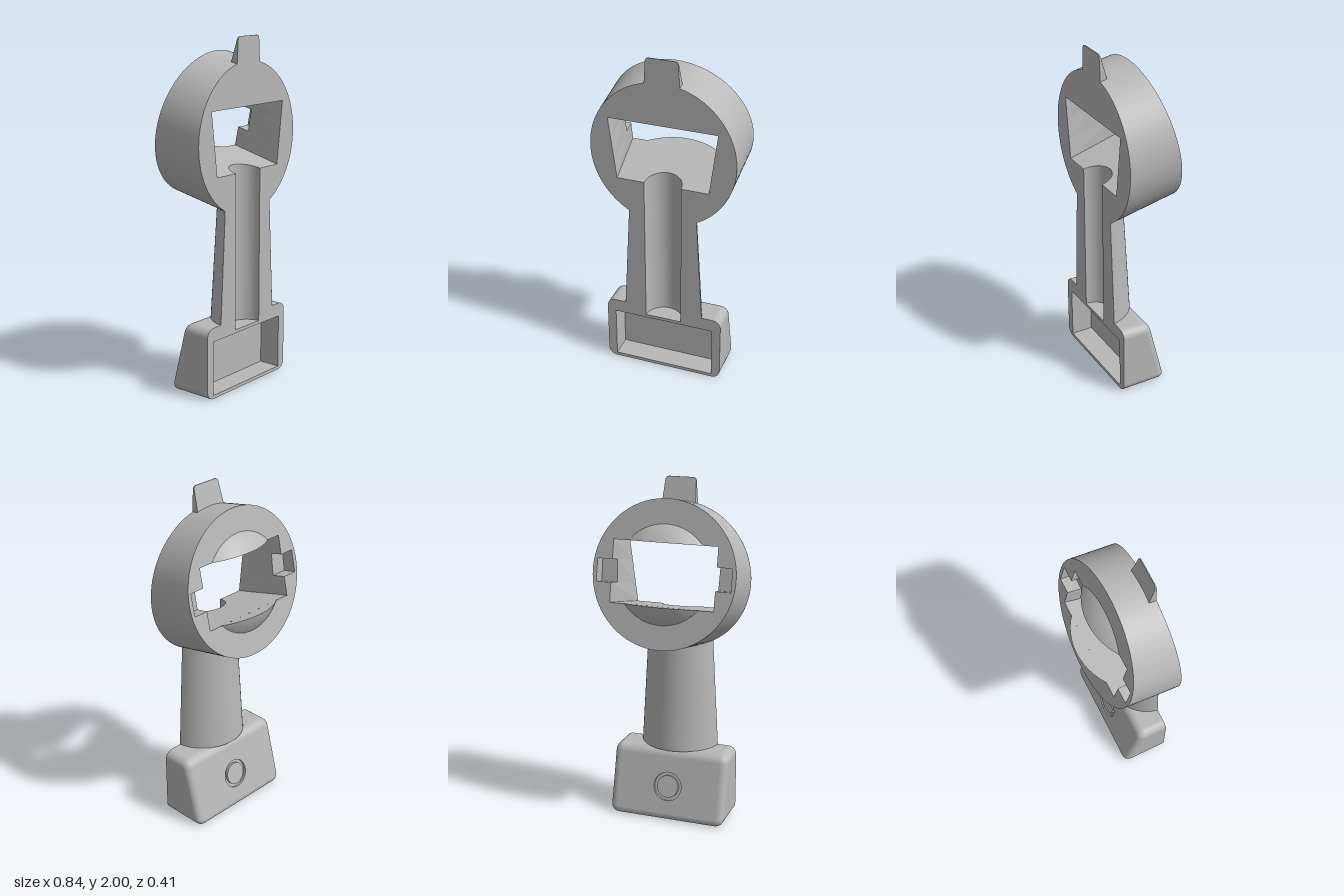
import * as THREE from 'three';
import { toCreasedNormals } from 'three/addons/utils/BufferGeometryUtils.js';

const FRONT = 0.205, H = 0.177, TILT = 12 * Math.PI / 180;
const SLOT = 0.065, SLOT_X = 0.395, SLOT_T = 0.75;
const lerp = THREE.MathUtils.lerp;
const range = (n, f) => Array.from({ length: n + 1 }, (_, i) => f(i / n));

// Point in the tilted head: t = 0 on the flat front, t = 1 on the tilted back
function headPoint(x, v, t) {
  return [x,
    lerp(1.436 + v / Math.cos(TILT), 1.5 + v * Math.cos(TILT), t),
    lerp(FRONT, -0.0975 + v * Math.sin(TILT), t)];
}
// Point standing w out from the tilted back face
function backPoint(x, v, w) {
  const p = headPoint(x, v, 1);
  return [x, p[1] + w * Math.sin(TILT), p[2] - w * Math.cos(TILT)];
}
// Where walls hidden in the neck stop, so that they stay clear of the groove
const insideNeck = x => Math.min(FRONT, 0.28 - Math.sqrt(Math.max(0, 0.04 - x * x)));
const boxBack = y => -0.078 + 0.257 * y;
const floorY = z => headPoint(0, -H, 0)[1] + Math.tan(TILT) * (FRONT - z);
const channelX = (v, t) => lerp(0.29 + 0.13 * v, 0.306, t);

// Smooth surface through rows of points
function loft(rows, closed = false) {
  const n = rows[0].length, index = [];
  for (let r = 0; r < rows.length - 1; r++) {
    for (let i = 0; i < (closed ? n : n - 1); i++) {
      const j = (i + 1) % n, a = r * n + i, b = r * n + j;
      index.push(a, a + n, b, b, a + n, b + n);
    }
  }
  const g = new THREE.BufferGeometry();
  g.setAttribute('position', new THREE.Float32BufferAttribute(rows.flat(2), 3));
  g.setIndex(index);
  g.computeVertexNormals();
  return g;
}
// Flat four-cornered faces
function quads(list) {
  const g = new THREE.BufferGeometry();
  const pts = list.flatMap(([a, b, c, d]) => [a, b, c, a, c, d]);
  g.setAttribute('position', new THREE.Float32BufferAttribute(pts.flat(), 3));
  g.computeVertexNormals();
  return g;
}
// Move every vertex by a rule
function remap(g, rule) {
  const p = g.attributes.position;
  for (let i = 0; i < p.count; i++) p.setXYZ(i, ...rule(p.getX(i), p.getY(i), p.getZ(i)));
  g.computeVertexNormals();
  return g;
}
const polygon = (pts, Type = THREE.Shape) => new Type(pts.map(p => new THREE.Vector2(...p)));

export function createModel() {
  const model = new THREE.Group();
  model.name = 'handheldShell';
  const grey = new THREE.MeshStandardMaterial({ color: 0xb8b8b8, side: THREE.DoubleSide });
  grey.name = 'grey plastic';
  const add = (name, geometry) => {
    const mesh = new THREE.Mesh(geometry, grey);
    mesh.name = name;
    model.add(mesh);
    return mesh;
  };

  // Flat front face in one piece: base, neck, head and tab
  const PI = Math.PI, a0 = Math.acos(0.2 / 0.42), a1 = Math.acos(0.1 / 0.42);
  const face = new THREE.Shape();
  face.moveTo(-0.302, 0).lineTo(0.302, 0);
  face.absarc(0.302, 0.05, 0.05, -PI / 2, 0).absarc(0.302, 0.365, 0.05, 0, PI / 2);
  face.lineTo(0.236, 0.415).lineTo(0.2, 1.058);
  face.absellipse(0, 1.436, 0.42, 0.4294, -a0, a1);
  face.lineTo(0.092, 1.98).quadraticCurveTo(0.09, 2, 0.07, 2);
  face.lineTo(-0.07, 2).quadraticCurveTo(-0.09, 2, -0.092, 1.98);
  face.lineTo(-0.1, 1.853);
  face.absellipse(0, 1.436, 0.42, 0.4294, PI - a1, PI + a0);
  face.lineTo(-0.236, 0.415).lineTo(-0.302, 0.415);
  face.absarc(-0.302, 0.365, 0.05, PI / 2, PI).absarc(-0.302, 0.05, 0.05, PI, 1.5 * PI);
  const low = floorY(FRONT), high = headPoint(0, H, 0)[1];
  face.holes.push(polygon([[-0.108, 0.355], [0.108, 0.355], [0.108, low], [0.267, low],
    [0.313, high], [-0.313, high], [-0.267, low], [-0.108, low]], THREE.Path));
  face.holes.push(polygon([[-0.3, 0.02], [0.3, 0.02], [0.3, 0.335], [-0.3, 0.335]], THREE.Path));
  add('frontFace', new THREE.ShapeGeometry(face, 40).translate(0, 0, FRONT));

  // Tilted head: outer wall, cut short where it meets the neck
  const circle = range(96, s => [0.42 * Math.cos(s * 2 * PI), 0.42 * Math.sin(s * 2 * PI)]);
  circle.pop();
  add('headWall', loft([
    circle.map(([x, v]) => {
      const f = headPoint(x, v, 0), b = headPoint(x, v, 1);
      const t = v < 0 ? (FRONT - insideNeck(x)) / (FRONT - b[2]) : 0;
      return f.map((c, i) => lerp(c, b[i], t));
    }),
    circle.map(([x, v]) => headPoint(x, v, 1)),
  ], true));

  // Head back face with its cross-shaped opening
  const back = polygon(circle), W = 0.306;
  back.holes.push(polygon([[-W, -H], [W, -H], [W, -SLOT], [SLOT_X, -SLOT], [SLOT_X, SLOT], [W, SLOT],
    [W, H], [-W, H], [-W, SLOT], [-SLOT_X, SLOT], [-SLOT_X, -SLOT], [-W, -SLOT]], THREE.Path));
  add('headBack', remap(new THREE.ShapeGeometry(back), (x, v) => headPoint(x, v, 1)));

  // Channel ceiling, side walls and side slots
  const P = headPoint, walls = [[P(-0.313, H, 0), P(0.313, H, 0), P(W, H, 1), P(-W, H, 1)]];
  for (const s of [-1, 1]) {
    const C = (v, t) => P(s * channelX(v, t), v, t);
    const strip = (v0, v1, t) => walls.push([C(v0, 0), C(v1, 0), C(v1, t), C(v0, t)]);
    strip(-H, -SLOT, 1);
    strip(-SLOT, SLOT, SLOT_T);
    strip(SLOT, H, 1);
    const E = (v, t) => P(s * SLOT_X, v, t);
    walls.push([C(-SLOT, SLOT_T), C(SLOT, SLOT_T), E(SLOT, SLOT_T), E(-SLOT, SLOT_T)]);
    walls.push([E(-SLOT, SLOT_T), E(SLOT, SLOT_T), E(SLOT, 1), E(-SLOT, 1)]);
    for (const v of [-SLOT, SLOT]) walls.push([C(v, SLOT_T), E(v, SLOT_T), E(v, 1), C(v, 1)]);
  }
  add('channelWalls', quads(walls));

  // Channel floor, notched where the groove comes up
  const floor = new THREE.Shape();
  const deep = FRONT - P(0, -H, 1)[2];
  floor.moveTo(0.108, 0).lineTo(0.267, 0).lineTo(W, deep).lineTo(-W, deep).lineTo(-0.267, 0);
  floor.lineTo(-0.108, 0).absarc(0, 0, 0.108, PI, 0, true);
  add('channelFloor', remap(new THREE.ShapeGeometry(floor, 24),
    (x, d) => [x, floorY(FRONT - d), FRONT - d]));

  // Two slices of a dome on the back, above and below the channel
  const R = 0.395, domeC = 0.279, edge = Math.sqrt(0.28 ** 2 - H * H);
  const domeW = (x, v) => Math.max(0, Math.sqrt(R * R - x * x - v * v) - domeC);
  for (const s of [-1, 1]) {
    const name = s > 0 ? 'upperDome' : 'lowerDome';
    const xs = range(32, k => lerp(-edge, edge, k));
    add(name, loft(range(12, k => xs.map(x => {
      const v = lerp(H, Math.sqrt(Math.max(H * H, 0.28 ** 2 - x * x)), k);
      return backPoint(x, s * v, domeW(x, v));
    }))));
    add(name + 'Cut', loft([0, 1].map(k => xs.map(x => backPoint(x, s * H, k * domeW(x, H))))));
  }

  // Top tab, a wedge that thins towards its tip
  const tab = new THREE.Shape();
  tab.moveTo(-0.1, 1.85).lineTo(0.1, 1.85).lineTo(0.092, 1.98).quadraticCurveTo(0.09, 2, 0.07, 2);
  tab.lineTo(-0.07, 2).quadraticCurveTo(-0.09, 2, -0.092, 1.98);
  add('topTab', remap(new THREE.ExtrudeGeometry(tab, { depth: 1, bevelEnabled: false, curveSegments: 8 }),
    (x, y, t) => [x, y, lerp(0.2 - (2 - y) * 0.27, FRONT, t)]));

  // Neck: rounded tapering back and a small underside that overhangs the base
  const neckArc = (y, r) => {
    const e = Math.asin(0.04 / r);
    return range(40, k => {
      const a = lerp(PI + e, 2 * PI - e, k);
      return [r * Math.cos(a), y, 0.245 + r * Math.sin(a)];
    });
  };
  const foot = neckArc(0.415, 0.24);
  add('neck', loft([foot, neckArc(1.1, 0.2016)]));
  add('neckUnderside', loft([foot, foot.map(([x, y]) => [x, y, insideNeck(x)])]));

  // Half-round groove down the neck
  const groove = range(32, k => [-0.108 * Math.cos(k * PI), FRONT - 0.108 * Math.sin(k * PI)]);
  add('groove', loft([groove.map(([x, z]) => [x, 0.355, z]), groove.map(([x, z]) => [x, floorY(z), z])]));
  add('grooveEnd', loft([groove.map(([x, z]) => [x, 0.355, z]), groove.map(([x]) => [x, 0.355, FRONT])]));

  // Base box: rounded outline, sloping back, rounded back edge
  const corner = (cx, cy, a) => range(8, k => [cx, cy, a + k * PI / 2]);
  const outline = [...corner(0.302, 0.05, -PI / 2), ...corner(0.302, 0.365, 0),
    ...range(30, k => [lerp(0.29, -0.29, k), 0.365, PI / 2]),
    ...corner(-0.302, 0.365, PI / 2), ...corner(-0.302, 0.05, PI)];
  const inset = i => outline.map(([cx, cy, a]) =>
    [cx + (0.05 - i) * Math.cos(a), cy + (0.05 - i) * Math.sin(a)]);
  const r = 0.04;
  add('baseWall', loft([inset(0).map(([x, y]) => [x, y, y > 0.41 ? insideNeck(x) : FRONT]),
    inset(0).map(([x, y]) => [x, y, boxBack(y) + r])], true));
  add('baseRoundedEdge', loft(range(6, k => inset(r * (1 - Math.cos(k * PI / 2))).map(([x, y]) =>
    [x, y, boxBack(y) + r * (1 - Math.sin(k * PI / 2))])), true));
  const baseBack = polygon(inset(r));
  const slope = Math.atan(0.257);
  baseBack.holes.push(new THREE.Path().absellipse(0, 0.2, 0.085, 0.085 * Math.cos(slope), 0, 2 * PI));
  add('baseBack', remap(new THREE.ShapeGeometry(baseBack, 24), (x, y) => [x, y, boxBack(y)]));

  // Round button set in a ring-shaped groove
  const profile = [[0, 0], [0.066, 0], [0.066, -0.015], [0.085, -0.015], [0.085, 0]];
  const button = add('button', toCreasedNormals(
    new THREE.LatheGeometry(profile.map(p => new THREE.Vector2(...p)), 48), 0.6));
  button.position.set(0, 0.2, boxBack(0.2));
  button.rotation.x = slope - PI / 2;

  // Hollow in the base
  const zc = 0.075, c = [[-0.3, 0.02], [0.3, 0.02], [0.3, 0.335], [-0.3, 0.335]];
  add('baseHollow', quads([c.map(p => [...p, zc]), ...c.map((p, i) => {
    const q = c[(i + 1) % 4];
    return [[...p, zc], [...p, FRONT], [...q, FRONT], [...q, zc]];
  })]));
  return model;
}
